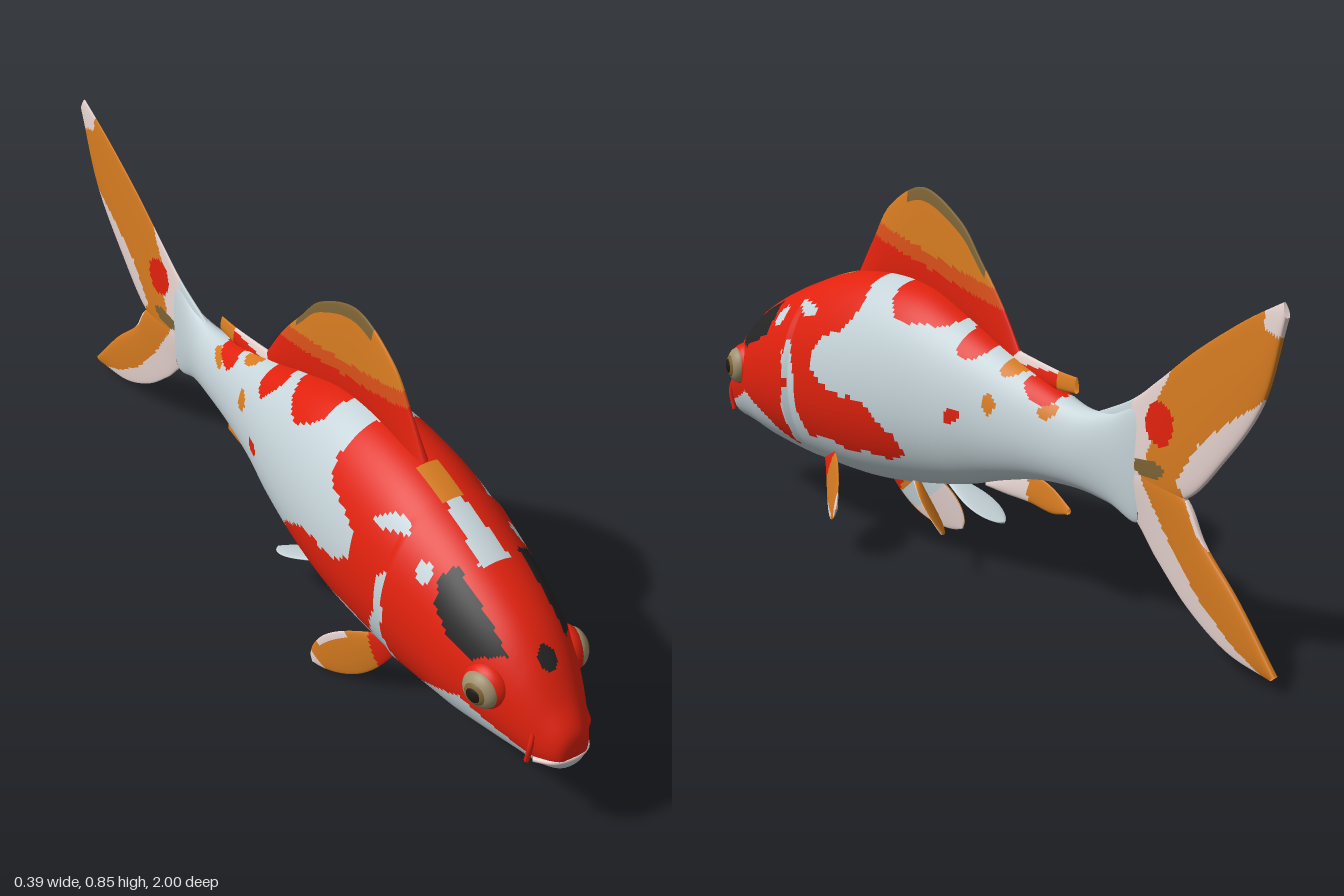
import * as THREE from 'three';

const CX = -0.023; // mid-plane of the fish
const COLOURS = {
  red: 0xe0210d, white: 0xc6d4d9, orange: 0xd67b20, pink: 0xe6d3cf, vermilion: 0xd9501a,
  black: 0x242424, brown: 0x7d6334, tan: 0x9e8e6c, pupil: 0x1d1813,
};
const mats = {};
for (const [name, hex] of Object.entries(COLOURS)) {
  mats[name] = new THREE.MeshStandardMaterial({ color: hex, side: THREE.DoubleSide });
  mats[name].name = name;
}

// Closed-ring surface point(u, v); rule(p, v, u) picks the colour of each face
function surface(name, point, nu, nv, rule) {
  const pos = [], faces = {};
  for (let i = 0; i <= nu; i++)
    for (let j = 0; j < nv; j++) pos.push(point(i / nu, j / nv));
  let volume = 0;
  const tris = [];
  for (let i = 0; i < nu; i++) for (let j = 0; j < nv; j++) {
    const k = (j + 1) % nv, a = i * nv + j, b = i * nv + k, c = a + nv, d = b + nv;
    const mid = pos[a].clone().add(pos[b]).add(pos[c]).add(pos[d]).multiplyScalar(0.25);
    const colour = rule(mid, (j + 0.5) / nv, (i + 0.5) / nu);
    for (const t of [[a, b, c], [b, d, c]]) {
      volume += pos[t[0]].dot(pos[t[1]].clone().cross(pos[t[2]]));
      tris.push([colour, t]);
    }
  }
  for (const [colour, t] of tris) {
    if (volume < 0) t.reverse(); // keep faces outward
    (faces[colour] ??= []).push(...t);
  }
  const geo = new THREE.BufferGeometry().setFromPoints(pos), index = [], used = [];
  for (const [colour, list] of Object.entries(faces)) {
    geo.addGroup(index.length, list.length, used.length);
    for (const n of list) index.push(n);
    used.push(mats[colour]);
  }
  geo.setIndex(index);
  geo.computeVertexNormals();
  const mesh = new THREE.Mesh(geo, used);
  mesh.name = name;
  return mesh;
}

const spline = pts => new THREE.CatmullRomCurve3(pts.map(p => new THREE.Vector3(...p)), false, 'catmullrom', 0.5);
const oval = (z, y, cz, cy, rz, ry) => ((z - cz) / rz) ** 2 + ((y - cy) / ry) ** 2 < 1;
function inside(poly, z, y) {
  let hit = false;
  for (let i = 0, j = poly.length - 1; i < poly.length; j = i++) {
    const [az, ay] = poly[i], [bz, by] = poly[j];
    if ((ay > y) !== (by > y) && z < (bz - az) * (y - ay) / (by - ay) + az) hit = !hit;
  }
  return hit;
}

// Patches in (z, y)
const SHOULDER = [[.56, .7], [.57, .5], [.52, .44], [.51, .36], [.48, .25], [.36, .25], [.22, .245], [.11, .27], [.12, .32],
  [.2, .355], [.28, .385], [.38, .38], [.43, .42], [.41, .48], [.33, .53], [.285, .59], [.3, .62], [.34, .7]];
const GILL_GAP = [[.555, .43], [.53, .41], [.505, .3], [.52, .2], [.56, .2], [.565, .25], [.545, .33]];
const EYE_PATCH = [[.865, .42], [.84, .47], [.79, .52], [.74, .545], [.69, .545], [.662, .5], [.67, .45], [.73, .415], [.8, .4]];
const JAW = [[1.05, .222], [.95, .222], [.88, .25], [.78, .29], [.71, .26], [.63, .22], [.5, .19], [.5, 0], [1.05, 0]];
const TAIL_TOP = [[-.59, .36], [-.62, .45], [-.63, .53], [-.68, .62], [-.85, .76], [-.93, .78], [-.945, .73], [-1.02, .71], [-.985, .62],
  [-.92, .57], [-.84, .52], [-.76, .46], [-.69, .36]];
const TAIL_LOW = [[-.57, .38], [-.7, .37], [-.76, .27], [-.88, .17], [-1.02, .04], [-.97, .025], [-.87, .07], [-.77, .14], [-.69, .22], [-.63, .3]];

function bodyColour(p) {
  const dx = Math.abs(p.x - CX);
  const z = p.z + 0.007 * Math.sin(45 * p.y + 25 * p.x), y = p.y + 0.007 * Math.sin(38 * p.z + 20 * p.x);
  if (p.z > 0.7 && Math.hypot(p.x - CX, p.y - 0.413) < 0.021) return 'black';
  if (dx > 0.07 && inside(EYE_PATCH, z, y)) return 'black';
  if (inside(JAW, z, p.y) || inside(GILL_GAP, z, y)) return 'white';
  if (p.y > 0.45 && z > 0.56 && z < 0.7 && dx < 0.02 + 0.12 * (z - 0.56)) return 'white';
  if (p.y > 0.45 && z > 0.46 && z <= 0.56 && dx < 0.026) return 'orange';
  if (oval(z, y, .625, .505, .022, .02) || oval(z, y, .51, .545, .045, .015)) return 'white';
  if (z > 0.54) return 'red';
  if (inside(SHOULDER, z, y)) return 'red';
  if (oval(z, y, .1, .65, .11, .085) || oval(z, y, -.065, .57, .045, .06)) return 'red';
  if (oval(z, y, -.05, .39, .022, .017) || oval(z, y, -.28, .49, .05, .03)) return 'red';
  if (oval(z, y, -.19, .52, .03, .025) || oval(z, y, -.15, .44, .018, .022) || oval(z, y, -.31, .45, .025, .015)) return 'orange';
  return 'white';
}

// Body rings: z, top, bottom, half width
const RINGS = [
  [1, .245, .245, 0], [.99, .29, .2, .038], [.95, .34, .18, .067], [.89, .415, .178, .096], [.82, .475, .175, .122],
  [.72, .53, .165, .146], [.6, .58, .157, .157], [.46, .625, .155, .167], [.3, .645, .16, .167], [.15, .635, .18, .152],
  [0, .585, .21, .123], [-.12, .54, .245, .095], [-.25, .5, .275, .072], [-.38, .465, .285, .05], [-.48, .47, .275, .028],
  [-.57, .5, .255, .012], [-.6, .4, .36, 0]];
const heights = spline(RINGS.map(r => r.slice(0, 3)));
const widths = spline(RINGS.map(r => [r[3], 0, 0]));
function bodyPoint(u, v) {
  const { x: z, y: top, z: bottom } = heights.getPoint(u), a = v * Math.PI * 2;
  // gill covers swell outward, then step back in
  const side = Math.abs(Math.sin(a));
  const gill = (z > .54 && z < .68 ? (.68 - z) * .08 : 0) * side;
  const w = Math.max(widths.getPoint(u).x, 0) + gill;
  const mid = bottom + (top - bottom) * 0.46, c = Math.cos(a);
  const x = w * Math.sign(Math.sin(a)) * side ** (c < 0 ? 0.82 : 0.95);
  return new THREE.Vector3(CX + x, mid + c * (c > 0 ? top - mid : mid - bottom), z);
}

// Upright fin on the mid-plane between an outer and an inner edge, both in (z, y); thinner at the outer edge
function medianFin(name, outer, inner, thick, rule, nu = 90, nv = 80) {
  const A = spline(outer.map(p => [...p, 0])), B = spline(inner.map(p => [...p, 0]));
  return surface(name, (u, v) => {
    const a = v * Math.PI * 2, h = 0.5 - 0.5 * Math.cos(a);
    const p = A.getPoint(u).lerp(B.getPoint(u), h);
    const t = thick * (1 - 0.5 * u) * (0.4 + 0.6 * h) * Math.sign(Math.sin(a)) * Math.abs(Math.sin(a)) ** 0.6;
    return new THREE.Vector3(CX + t, p.y, p.x);
  }, nu, nv, rule);
}

// Paddle-shaped paired fin from base to tip, chord = half-width vector; v < 0.5 is the outer side
function paddleFin(name, base, tip, chord, rule) {
  const b = new THREE.Vector3(...base), d = new THREE.Vector3(...tip).sub(b), w = new THREE.Vector3(...chord);
  const n = d.clone().cross(w).normalize();
  return surface(name, (u, v) => {
    const a = v * Math.PI * 2, width = Math.sin(Math.PI * (0.06 + 0.94 * u ** 1.45)) ** 0.6;
    return b.clone().addScaledVector(d, u).addScaledVector(w, Math.cos(a) * width)
      .addScaledVector(n, 0.008 * Math.sin(a) * (1 - 0.6 * u));
  }, 40, 40, rule);
}

function part(name, geo, mat, parent, z = 0) {
  const m = new THREE.Mesh(geo, mats[mat]);
  m.name = name;
  m.position.z = z;
  parent.add(m);
  return m;
}

export function createModel() {
  const fish = new THREE.Group();
  fish.name = 'fish';
  fish.add(surface('body', bodyPoint, 260, 128, bodyColour));

  // Tail lobes
  const tailColour = ({ z, y }) => {
    if (z > -0.55) return 'white';
    if (oval(z, y, -.64, .48, .045, .045) || oval(z, y, -.555, .27, .02, .025)) return 'red';
    if (oval(z, y, -.61, .38, .05, .018)) return 'brown';
    return inside(TAIL_TOP, z, y) || inside(TAIL_LOW, z, y) ? 'orange' : 'pink';
  };
  fish.add(medianFin('upperTailLobe',
    [[-.4, .45], [-.54, .51], [-.63, .57], [-.74, .65], [-.88, .735], [-.99, .79]],
    [[-.4, .35], [-.56, .33], [-.71, .335], [-.83, .44], [-.94, .58], [-1, .76]], 0.018, tailColour));
  fish.add(medianFin('lowerTailLobe',
    [[-.4, .29], [-.54, .27], [-.63, .19], [-.73, .11], [-.85, .05], [-.98, .027]],
    [[-.4, .4], [-.56, .38], [-.71, .345], [-.78, .255], [-.88, .165], [-.995, .04]], 0.018, tailColour));

  // Dorsal fin: red base, orange sail, dull edge at the crest
  fish.add(medianFin('dorsalFin',
    [[.46, .62], [.4, .71], [.33, .8], [.2, .856], [.06, .8], [-.02, .72], [-.1, .63], [-.17, .53]],
    [[.46, .58], [.38, .6], [.3, .62], [.18, .61], [.05, .58], [-.02, .56], [-.1, .53], [-.17, .5]], 0.022,
    ({ z, y }, v) => {
      const above = y - 0.655 - 0.2 * (z - 0.05);
      if (above < 0.035) return above < 0 ? 'red' : 'vermilion';
      return z > -0.04 && z < 0.26 && Math.cos(v * Math.PI * 2) > 0.74 ? 'brown' : 'orange';
    }));
  fish.add(medianFin('rearDorsalFin', [[-.15, .545], [-.22, .535], [-.3, .525], [-.36, .522]],
    [[-.15, .5], [-.22, .49], [-.3, .485], [-.36, .487]], 0.016,
    ({ z, y }) => z < -0.3 ? 'orange' : y > .52 ? 'pink' : 'red', 30, 30));
  fish.add(medianFin('analFin', [[-.05, .235], [-.14, .265], [-.22, .275], [-.28, .262], [-.34, .23]],
    [[-.05, .215], [-.12, .212], [-.2, .212], [-.28, .205], [-.335, .215]], 0.014,
    ({ z }) => z < -0.2 ? 'orange' : 'pink', 30, 30));

  // Pectoral fins, held at different angles
  const pectoralColour = (p, v, u) => {
    const chord = Math.cos(v * Math.PI * 2);
    if (u < 0.3 + 0.08 * chord) return 'red';
    if (v > 0.5) return u < 0.4 || Math.abs(chord) > 0.93 ? 'orange' : u < 0.6 ? 'white' : 'pink';
    return u > 0.93 || (chord < -0.7 && u > 0.45 && u < 0.8) ? 'pink' : 'orange';
  };
  fish.add(paddleFin('leftPectoralFin', [.06, .185, .48], [.19, .125, .25], [0, .066, -.02], pectoralColour));
  fish.add(paddleFin('rightPectoralFin', [-.09, .18, .47], [-.178, .012, .265], [.016, -.037, .04], pectoralColour));

  // Pelvic fins
  fish.add(paddleFin('leftPelvicFin', [CX + .045, .185, .17], [CX + .105, .112, -.015], [.028, .024, -.004],
    (p, v) => v < 0.5 ? 'pink' : 'orange'));
  fish.add(paddleFin('rightPelvicFin', [CX - .04, .185, .17], [CX - .07, .108, -.015], [.036, -.006, -.008], () => 'white'));

  for (const s of [1, -1]) {
    // Eyes in raised sockets, facing out and a little forward
    const eye = new THREE.Group();
    eye.name = s > 0 ? 'leftEye' : 'rightEye';
    eye.position.set(CX + s * 0.114, 0.343, 0.83);
    eye.rotation.y = s * 1.3;
    part('eyeSocket', new THREE.SphereGeometry(0.054, 28, 18), 'red', eye, -0.016).scale.z = 0.7;
    part('eyeball', new THREE.SphereGeometry(0.044, 28, 18), 'tan', eye, 0.002).scale.z = 0.65;
    part('iris', new THREE.SphereGeometry(0.032, 24, 14), 'brown', eye, 0.014).scale.z = 0.6;
    part('pupil', new THREE.SphereGeometry(0.023, 24, 14), 'pupil', eye, 0.021).scale.z = 0.6;
    fish.add(eye);

    // Barbels at the mouth corners
    const barbel = spline([[CX + s * .064, .285, .94], [CX + s * .073, .25, .944], [CX + s * .071, .205, .933]]);
    part('barbel', new THREE.TubeGeometry(barbel, 10, 0.006, 8), 'red', fish);
  }

  // Upper lip
  const lip = spline([[CX - .066, .218, .948], [CX - .04, .223, .983], [CX, .225, .995], [CX + .04, .223, .983], [CX + .066, .218, .948]]);
  part('lip', new THREE.TubeGeometry(lip, 24, 0.006, 8), 'pink', fish);
  return fish;
}
